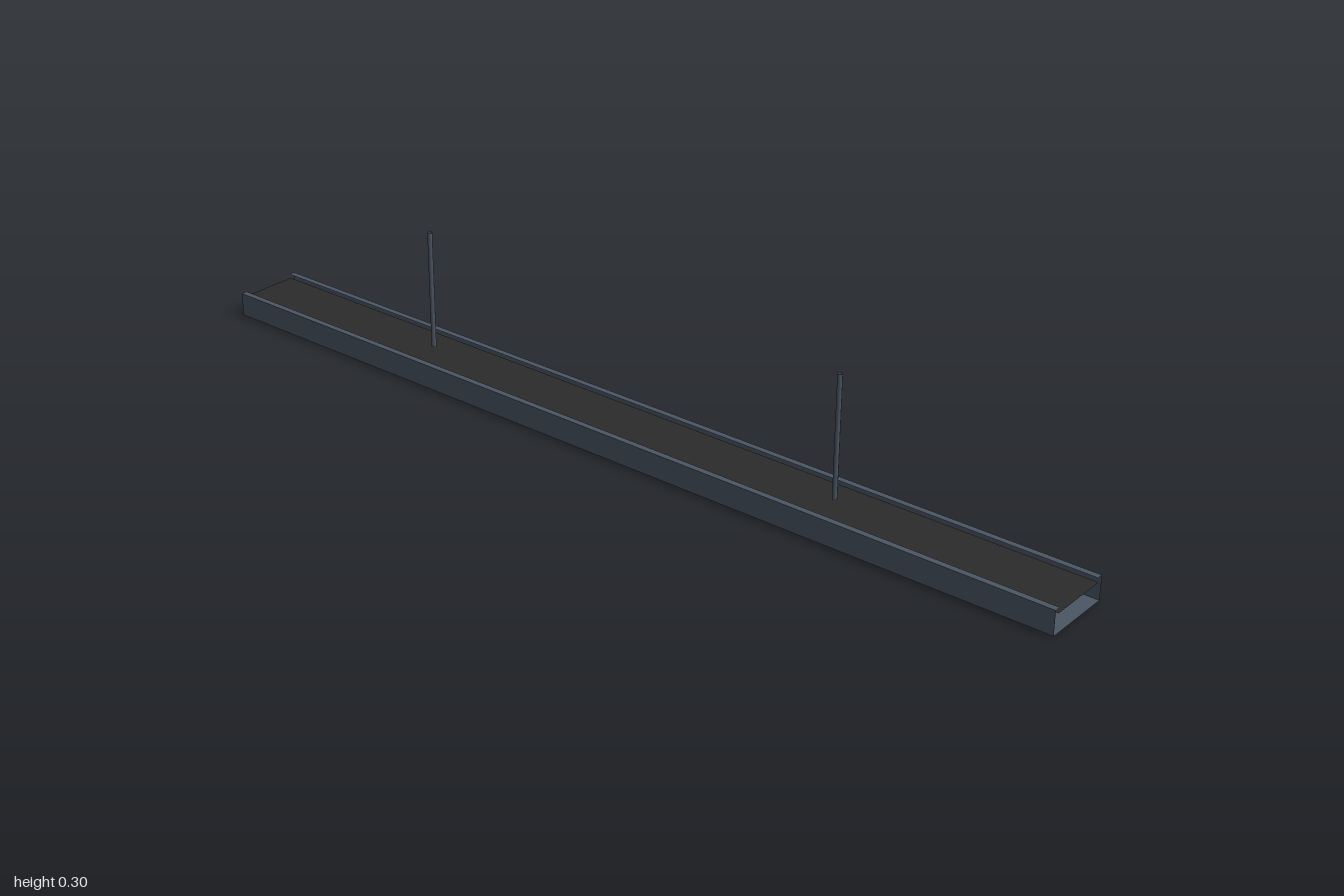
import * as THREE from 'three';

export function createModel() {
  const model = new THREE.Group();
  const steel = new THREE.MeshStandardMaterial({ name: 'slate steel', color: 0x4b5563, side: THREE.DoubleSide });
  const rubber = new THREE.MeshStandardMaterial({ name: 'black rubber', color: 0x2b2b2b, side: THREE.DoubleSide });

  // Flat sheet running the full length, centred at (y, z)
  function sheet(name, width, y, z, tilt, material) {
    const geometry = new THREE.PlaneGeometry(2, width);
    geometry.rotateX(tilt);
    const mesh = new THREE.Mesh(geometry, material);
    mesh.name = name;
    mesh.position.set(0, y, z);
    model.add(mesh);
  }

  const flat = -Math.PI / 2;
  const height = 0.05, half = 0.075, lip = 0.013;

  // Open-ended channel: floor, side walls and inward lips
  sheet('channelFloor', half * 2, 0, 0, flat, steel);
  for (const side of [1, -1]) {
    const label = side > 0 ? 'front' : 'back';
    sheet(label + 'Wall', height, height / 2, side * half, side > 0 ? 0 : Math.PI, steel);
    sheet(label + 'Lip', lip, height, side * (half - lip / 2), flat, steel);
  }

  // Belt lying just under the lips
  sheet('belt', 0.13, 0.04, 0, flat, rubber);

  // Hanger rods, open at both ends
  for (const x of [-0.5, 0.5]) {
    const rod = new THREE.Mesh(new THREE.CylinderGeometry(0.005, 0.005, 0.25, 8, 1, true), steel);
    rod.name = x > 0 ? 'leftHangerRod' : 'rightHangerRod';
    rod.position.set(x, 0.175, 0);
    model.add(rod);
  }
  return model;
}
